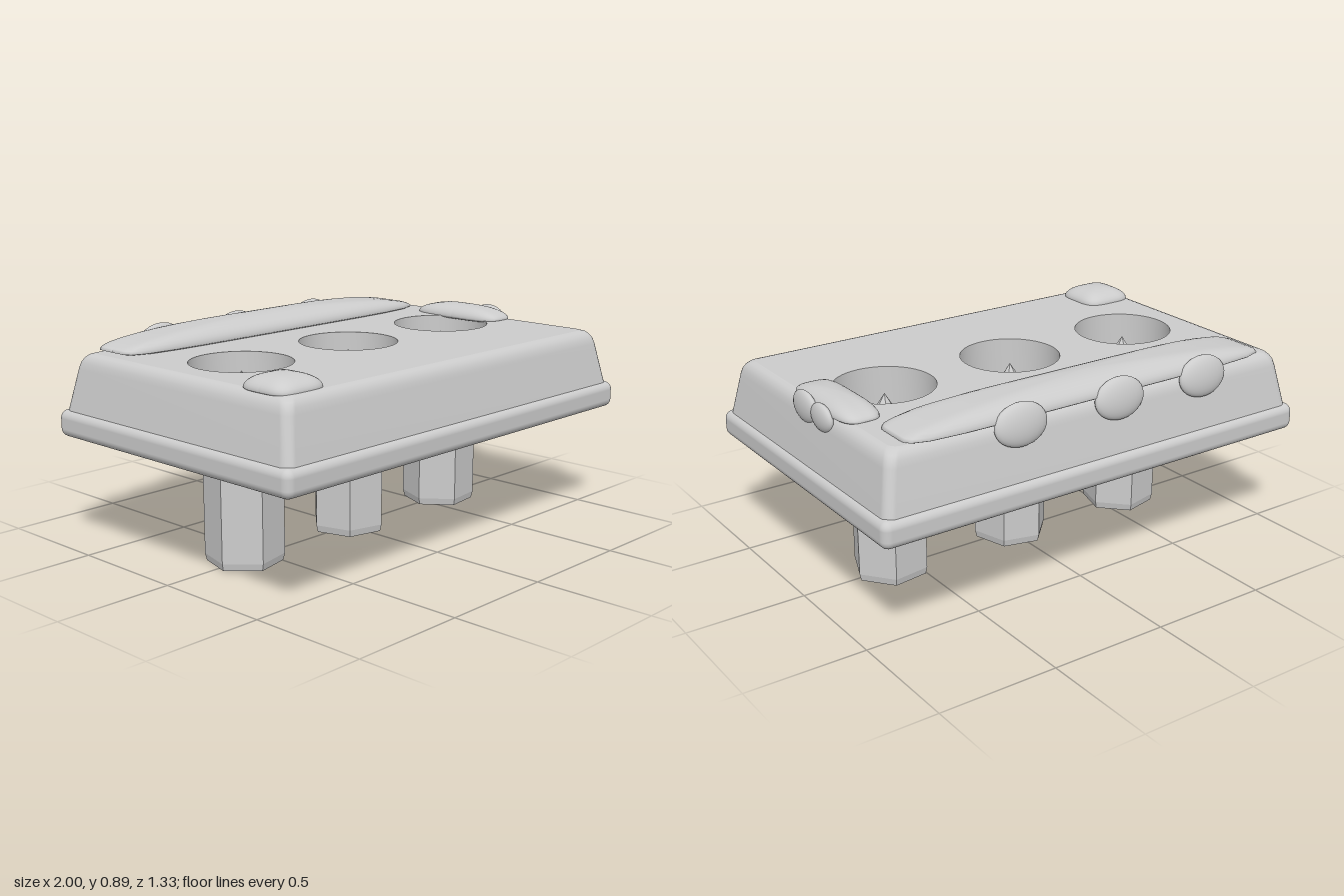
import * as THREE from 'three';
import { toCreasedNormals } from 'three/addons/utils/BufferGeometryUtils.js';
import { RoundedBoxGeometry } from 'three/addons/geometries/RoundedBoxGeometry.js';

const HOLE_X = [-0.6, 0, 0.6];
const HOLE_R = 0.207;
const TOP = 0.81;
const FLOOR = 0.6;

// Rounded rectangle outline as [x, z] pairs, running from +x towards +z
function roundedRect(hx, hz, r, steps = 5) {
  const points = [];
  [[1, 1], [-1, 1], [-1, -1], [1, -1]].forEach(([sx, sz], q) => {
    for (let i = 0; i <= steps; i++) {
      const a = (q + i / steps) * Math.PI / 2;
      points.push([sx * (hx - r) + r * Math.cos(a), sz * (hz - r) + r * Math.sin(a)]);
    }
  });
  return points;
}

// Skin stacked outlines: each level is [y, inset]
function loft(levels, hx, hz, r) {
  const pos = [], index = [];
  let n = 0;
  levels.forEach(([y, inset]) => {
    const ring = roundedRect(hx - inset, hz - inset, r);
    n = ring.length;
    ring.forEach(([x, z]) => pos.push(x, y, z));
  });
  for (let i = 0; i < levels.length - 1; i++) {
    for (let j = 0; j < n; j++) {
      const k = (j + 1) % n;
      const a = i * n + j, b = i * n + k, c = b + n, d = a + n;
      index.push(a, d, c, a, c, b);
    }
  }
  const g = new THREE.BufferGeometry();
  g.setAttribute('position', new THREE.Float32BufferAttribute(pos, 3));
  g.setIndex(index);
  g.computeVertexNormals();
  return g;
}

// Soft mound with a squared-off plan and a shallow underside
function pillow(hx, hz, height, power) {
  const g = new THREE.SphereGeometry(1, 48, 20);
  const p = g.attributes.position;
  for (let i = 0; i < p.count; i++) {
    const x = p.getX(i), y = p.getY(i), z = p.getZ(i);
    const norm = (Math.abs(x) ** power + Math.abs(z) ** power) ** (1 / power);
    const k = norm > 1e-6 ? Math.hypot(x, z) / norm : 1;
    p.setXYZ(i, x * k * hx, y * (y > 0 ? height : 0.02), z * k * hz);
  }
  g.computeVertexNormals();
  return g;
}

export function createModel() {
  const model = new THREE.Group();
  const gray = new THREE.MeshStandardMaterial({ color: 0xcccccc });
  gray.name = 'plain gray';

  const add = (name, geometry, x = 0, y = 0, z = 0) => {
    const mesh = new THREE.Mesh(geometry, gray);
    mesh.name = name;
    mesh.position.set(x, y, z);
    model.add(mesh);
    return mesh;
  };

  // Rounded slab at the bottom of the block
  add('baseSlab', new RoundedBoxGeometry(2, 0.112, 1.33, 4, 0.035), 0, 0.525, 0);

  // Tapered block with softened upper edges
  const levels = [[0.57, 0.021], [0.58, 0.022], [0.75, 0.056], [0.775, 0.063],
    [0.792, 0.073], [0.804, 0.086], [TOP, 0.105]];
  add('blockSides', loft(levels, 1, 0.665, 0.04));

  // Top face with three round openings
  const outline = new THREE.Shape(
    roundedRect(1 - 0.105, 0.665 - 0.105, 0.04).map(([x, z]) => new THREE.Vector2(x, z)));
  HOLE_X.forEach((x) => {
    const hole = new THREE.Path();
    hole.absarc(x, 0, HOLE_R, 0, Math.PI * 2, true);
    outline.holes.push(hole);
  });
  add('blockTop', new THREE.ShapeGeometry(outline, 24).rotateX(-Math.PI / 2), 0, TOP, 0);

  // Wells: wall and floor, facing inward
  const wellProfile = [[HOLE_R, TOP], [HOLE_R, FLOOR], [0, FLOOR]]
    .map(([r, y]) => new THREE.Vector2(r, y));
  HOLE_X.forEach((x) => {
    add('well', toCreasedNormals(new THREE.LatheGeometry(wellProfile, 48), 0.6), x);
  });

  // Six-sided pegs with pointed tips, each turned a little differently
  const pegProfile = [[0, 0], [0.153, 0], [0.16, 0.03], [0.16, 0.41], [0.15, 0.47],
    [0.115, FLOOR], [0, 0.775]].map(([r, y]) => new THREE.Vector2(r, y));
  const turns = [44, 16, 38];
  HOLE_X.forEach((x, i) => {
    const g = new THREE.LatheGeometry(pegProfile, 6, THREE.MathUtils.degToRad(turns[i]))
      .toNonIndexed();
    g.computeVertexNormals();
    add('peg', g, x);
  });

  // Soft mounds lying on the top
  add('backMound', pillow(0.855, 0.132, 0.072, 7), -0.005, 0.818, -0.478);
  add('sideMound', pillow(0.087, 0.23, 0.052, 4), 0.847, 0.812, -0.07);
  add('cornerMound', pillow(0.12, 0.12, 0.055, 4), -0.8, 0.81, 0.44);

  // Drips hanging over the edges
  const drip = (name, x, y, z, rx, ry, rz) =>
    add(name, new THREE.SphereGeometry(1, 24, 16), x, y, z).scale.set(rx, ry, rz);
  [-0.51, -0.085, 0.38].forEach((x) => drip('backDrip', x, 0.795, -0.61, 0.118, 0.085, 0.034));
  model.children.filter((m) => m.name === 'backDrip').forEach((m) => { m.rotation.x = 0.15; });
  drip('sideDripFront', 0.938, 0.793, 0.01, 0.025, 0.063, 0.09).rotation;
  drip('sideDripBack', 0.938, 0.79, -0.122, 0.025, 0.055, 0.078).rotation;

  return model;
}
